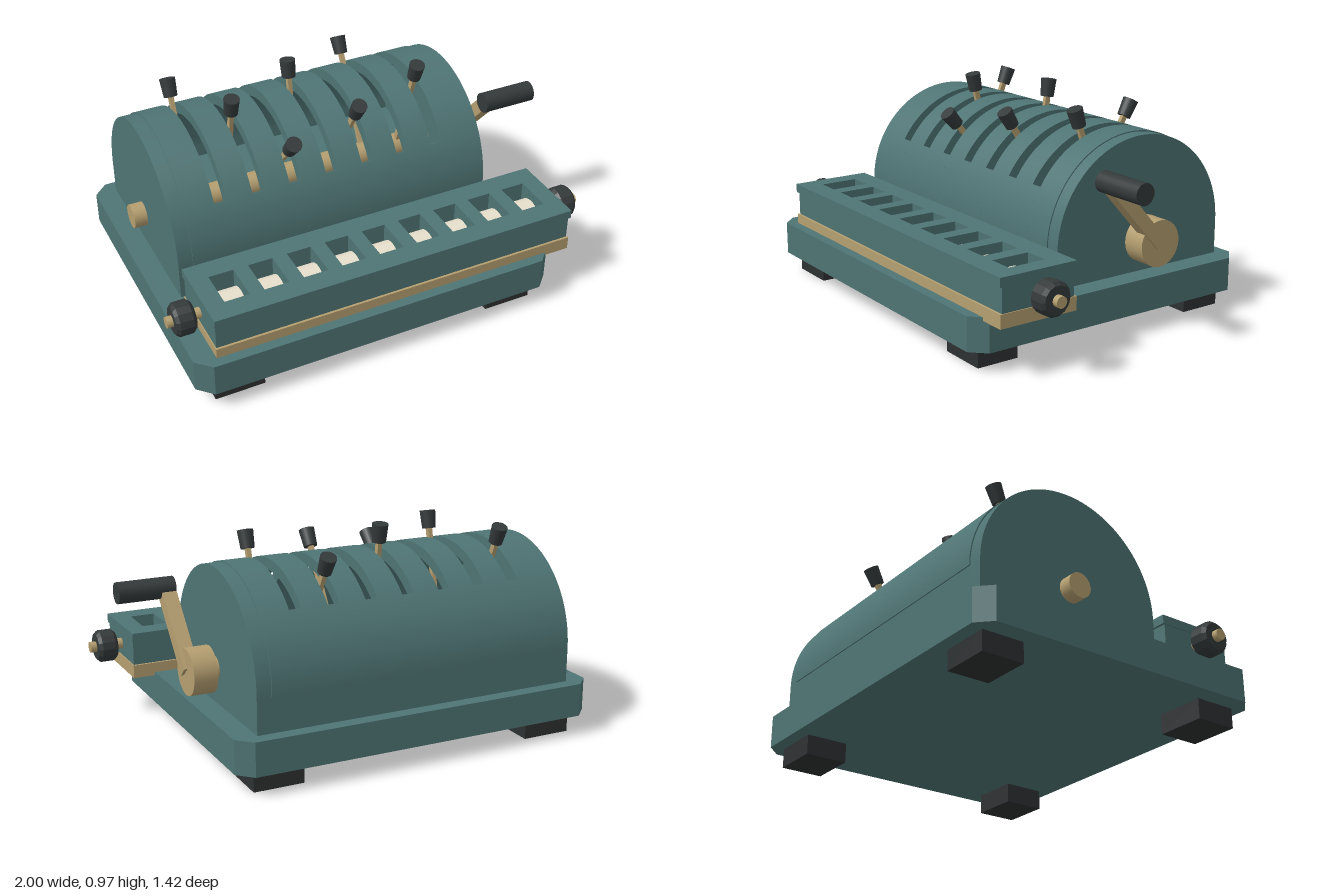
import * as THREE from 'three';
import { toCreasedNormals } from 'three/addons/utils/BufferGeometryUtils.js';

const mat = (color) => new THREE.MeshStandardMaterial({ color });

export function createModel() {
  const root = new THREE.Group();
  const teal = mat(0x4f7474), brass = mat(0xb59f70), dark = mat(0x34393a);
  const rubber = mat(0x2e3132), cream = mat(0xe8e0cc);
  const AX_Y = 0.395, AX_Z = -0.205; // drum axis
  const rad = THREE.MathUtils.degToRad;

  const add = (name, geo, material, parent = root) => {
    const m = new THREE.Mesh(geo, material);
    m.name = name;
    parent.add(m);
    return m;
  };
  // box given by its lower and upper corners
  const box = (name, a, b, material) => {
    const m = add(name, new THREE.BoxGeometry(b[0] - a[0], b[1] - a[1], b[2] - a[2]), material);
    m.position.set((a[0] + b[0]) / 2, (a[1] + b[1]) / 2, (a[2] + b[2]) / 2);
    return m;
  };
  // cylinder lying along x
  const rod = (name, r, x0, x1, y, z, material, sides = 32) => {
    const geo = new THREE.CylinderGeometry(r, r, x1 - x0, sides).rotateZ(-Math.PI / 2);
    const m = add(name, geo, material);
    m.position.set((x0 + x1) / 2, y, z);
    return m;
  };
  // side profile (shape x = backwards, y = up) extruded along x
  const alongX = (name, shape, x0, x1) => {
    const geo = new THREE.ExtrudeGeometry(shape, { depth: x1 - x0, bevelEnabled: false, curveSegments: 48 });
    const m = add(name, toCreasedNormals(geo.rotateY(Math.PI / 2), 0.5), teal);
    m.position.set(x0, AX_Y, AX_Z);
  };
  // plan outline extruded upwards
  const upwards = (name, shape, y0, y1, x, z) => {
    const geo = new THREE.ExtrudeGeometry(shape, { depth: y1 - y0, bevelEnabled: false });
    const m = add(name, geo.rotateX(-Math.PI / 2), teal);
    m.position.set(x, y0, z);
  };

  // Base with cut corners, on four feet
  const bw = 0.8525, bd = 0.712, c = 0.065;
  const plan = new THREE.Shape([
    [-bw + c, -bd], [bw - c, -bd], [bw, -bd + c], [bw, bd - c],
    [bw - c, bd], [-bw + c, bd], [-bw, bd - c], [-bw, -bd + c],
  ].map(([x, y]) => new THREE.Vector2(x, y)));
  upwards('base', plan, 0.09, 0.24, -0.0975, 0);
  for (const x of [-0.753, 0.562]) for (const z of [-0.555, 0.553])
    box('foot', [x - 0.113, 0, z - 0.097], [x + 0.113, 0.09, z + 0.097], rubber);

  // Housing: lower block, low walls and two solid end caps
  const R = 0.45, RI = 0.4, RC = 0.445;
  box('housingBlock', [-0.85, 0.24, AX_Z - RC], [0.655, 0.34, AX_Z + RC], teal);
  for (const s of [-1, 1]) {
    const z = AX_Z + s * (RC + RI) / 2;
    box('housingWall', [-0.785, 0.34, z - 0.0225], [0.59, AX_Y, z + 0.0225], teal);
  }
  const cap = new THREE.Shape();
  cap.moveTo(-RC, 0.34 - AX_Y);
  cap.lineTo(RC, 0.34 - AX_Y);
  cap.lineTo(RC, 0);
  cap.absarc(0, 0, RC, 0, Math.PI, false);
  cap.closePath();
  alongX('endCap', cap, -0.85, -0.785);
  alongX('endCap', cap, 0.59, 0.655);

  // Curved cover: full ribs between the slots, short arcs at the slot ends
  const arc = (a0, a1) => {
    const s = new THREE.Shape();
    s.absarc(0, 0, R, rad(a0), rad(a1), false);
    s.absarc(0, 0, RI, rad(a1), rad(a0), true);
    s.closePath();
    return s;
  };
  const leverAngles = [-22, 12, 41.5, -7.5, 32, -29, 19];
  const slotX = leverAngles.map((_, i) => -0.622 + i * 0.175);
  const half = 0.0275;
  let from = -0.785;
  for (const x of slotX) {
    alongX('coverRib', arc(0, 180), from, x - half);
    alongX('coverBack', arc(0, 44), x - half, x + half);
    alongX('coverFront', arc(148.5, 180), x - half, x + half);
    from = x + half;
  }
  alongX('coverRib', arc(0, 180), from, 0.59);

  // Drum shaft and setting levers
  rod('drumShaft', 0.055, -0.91, 0.7, AX_Y, AX_Z, brass);
  leverAngles.forEach((a, i) => {
    const lever = new THREE.Group();
    lever.name = 'lever';
    lever.position.set(slotX[i], AX_Y, AX_Z);
    lever.rotation.x = rad(a);
    add('leverStem', new THREE.BoxGeometry(0.02, 0.5, 0.025), brass, lever).position.y = 0.25;
    add('leverKnob', new THREE.CylinderGeometry(0.036, 0.031, 0.082, 20), dark, lever).position.y = 0.53;
    root.add(lever);
  });

  // Crank: hub, slanted arm and grip
  rod('crankHub', 0.103, 0.68, 0.787, AX_Y, AX_Z, brass);
  const crank = new THREE.Group();
  crank.name = 'crank';
  crank.position.set(0.768, AX_Y, AX_Z);
  crank.rotation.x = rad(42);
  add('crankArm', new THREE.BoxGeometry(0.065, 0.405, 0.06), brass, crank).position.y = 0.2025;
  root.add(crank);
  rod('crankGrip', 0.047, 0.735, 0.99, 0.697, 0.065, dark, 24);

  // Carriage: brass rail, body and lid, both pierced by nine windows
  const CZ = 0.48, CY = 0.34;
  box('carriageRail', [-0.855, 0.225, CZ - 0.186], [0.855, 0.285, CZ + 0.186], brass);
  const rect = (S, x, w, d) => new S([[-w, -d], [w, -d], [w, d], [-w, d]]
    .map(([px, py]) => new THREE.Vector2(px + x, py)));
  const windowX = Array.from({ length: 9 }, (_, i) => (i - 4) * 0.179);
  const pierced = (w, d) => {
    const s = rect(THREE.Shape, 0, w, d);
    s.holes = windowX.map((x) => rect(THREE.Path, x, 0.056, 0.088));
    return s;
  };
  upwards('carriageBody', pierced(0.85, 0.175), 0.285, 0.395, 0, CZ);
  upwards('carriageLid', pierced(0.855, 0.186), 0.395, 0.435, 0, CZ);
  for (const x of windowX) rod('numberDial', 0.084, x - 0.05, x + 0.05, 0.312, CZ, cream);

  // Carriage end knobs on short brass shafts
  const knob = new THREE.LatheGeometry([
    [0, -0.045], [0.06, -0.045], [0.074, -0.03], [0.074, 0.03], [0.06, 0.045], [0, 0.045],
  ].map(([x, y]) => new THREE.Vector2(x, y)), 14).rotateZ(-Math.PI / 2);
  const knobGeo = toCreasedNormals(knob, 0.3);
  for (const s of [-1, 1]) {
    rod('knobShaft', 0.025, s < 0 ? -1 : 0.84, s < 0 ? -0.84 : 1, CY, CZ, brass, 20);
    add('carriageKnob', knobGeo, dark).position.set(s * 0.928, CY, CZ);
  }
  return root;
}
